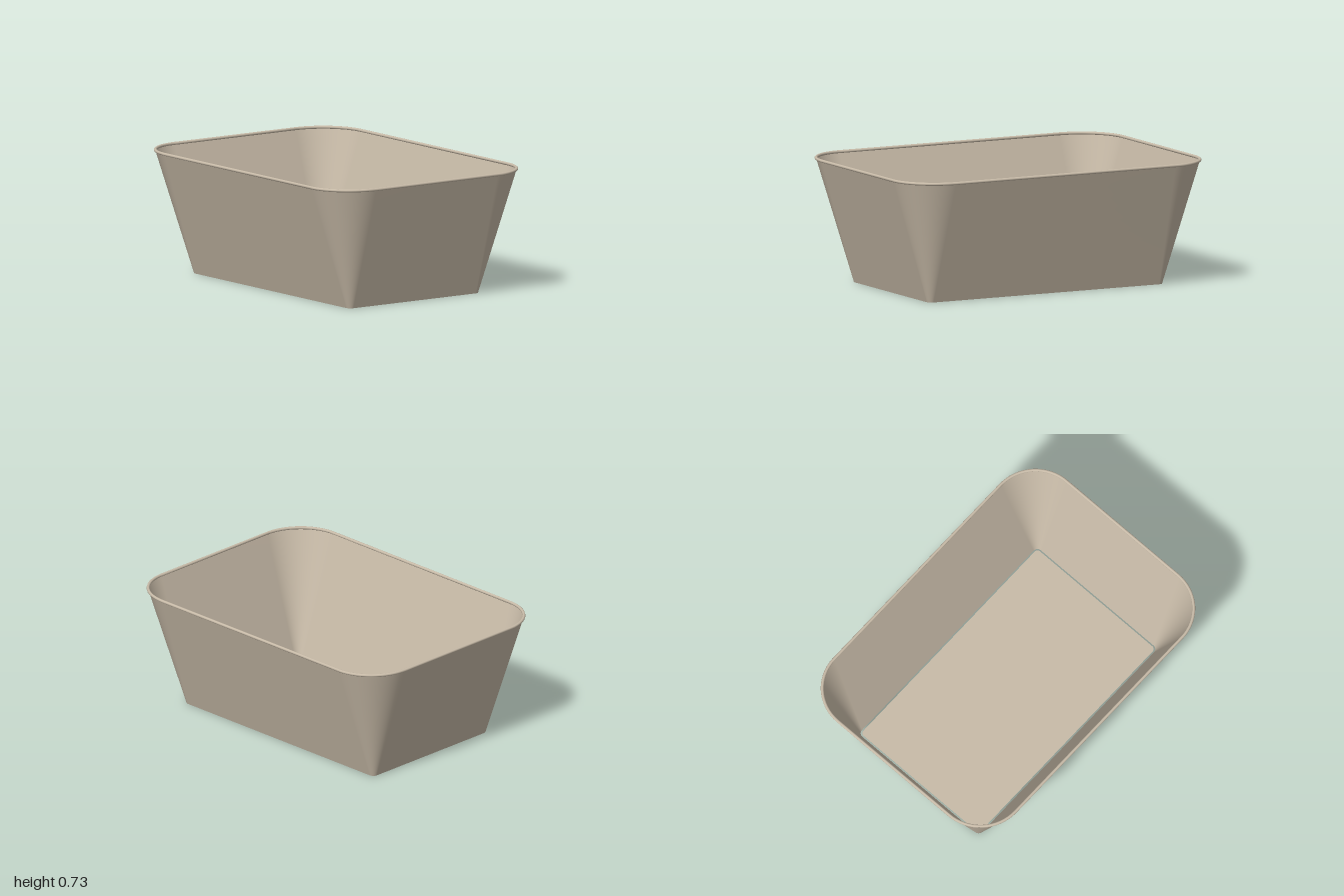
import * as THREE from 'three';

const CORNER_STEPS = 16;

// Rounded rectangle outline in the xz plane: half sizes hx, hz and corner radius r
function outline(hx, hz, r) {
  const points = [];
  const signs = [[1, 1], [-1, 1], [-1, -1], [1, -1]];
  signs.forEach(([sx, sz], quarter) => {
    for (let i = 0; i <= CORNER_STEPS; i++) {
      const a = (quarter + i / CORNER_STEPS) * Math.PI / 2;
      points.push([sx * (hx - r) + r * Math.cos(a), sz * (hz - r) + r * Math.sin(a)]);
    }
  });
  return points;
}

// Smooth skin through rounded rectangles, each given as [y, hx, hz, r]
function loft(sections, closed = false) {
  const positions = [], index = [];
  const n = 4 * (CORNER_STEPS + 1);
  for (const [y, hx, hz, r] of sections) {
    for (const [x, z] of outline(hx, hz, r)) positions.push(x, y, z);
  }
  const bands = closed ? sections.length : sections.length - 1;
  for (let k = 0; k < bands; k++) {
    const lower = k * n, upper = ((k + 1) % sections.length) * n;
    for (let i = 0; i < n; i++) {
      const j = (i + 1) % n;
      index.push(lower + i, upper + i, lower + j, lower + j, upper + i, upper + j);
    }
  }
  const geometry = new THREE.BufferGeometry();
  geometry.setAttribute('position', new THREE.Float32BufferAttribute(positions, 3));
  geometry.setIndex(index);
  geometry.computeVertexNormals();
  return geometry;
}

export function createModel() {
  const group = new THREE.Group();
  group.name = 'tub';
  const clay = new THREE.MeshStandardMaterial({ color: 0xc8bba8, side: THREE.DoubleSide });
  clay.name = 'warm beige';

  const add = (name, geometry) => {
    const mesh = new THREE.Mesh(geometry, clay);
    mesh.name = name;
    group.add(mesh);
    return mesh;
  };

  // Flared wall: nearly square corners at the foot, wide round ones at the top
  const wallSections = [];
  for (let i = 0; i <= 10; i++) {
    const t = i / 10;
    wallSections.push([0.724 * t, 0.772 + 0.219 * t, 0.468 + 0.236 * t, 0.03 + 0.241 * t]);
  }
  add('wall', loft(wallSections));

  // Rounded bead around the top edge
  const bead = 0.009, rimSections = [];
  for (let i = 0; i < 10; i++) {
    const a = i / 10 * Math.PI * 2;
    const out = bead * Math.cos(a);
    rimSections.push([0.726 + bead * Math.sin(a), 0.991 + out, 0.704 + out, 0.271 + out]);
  }
  add('rim', loft(rimSections, true));

  // Floor panel, set in from the wall by a hairline gap
  const floorShape = new THREE.Shape(
    outline(0.763, 0.459, 0.022).map(([x, z]) => new THREE.Vector2(x, z)));
  const floor = add('floor', new THREE.ShapeGeometry(floorShape));
  floor.rotation.x = -Math.PI / 2;
  floor.position.y = 0.002;

  return group;
}
